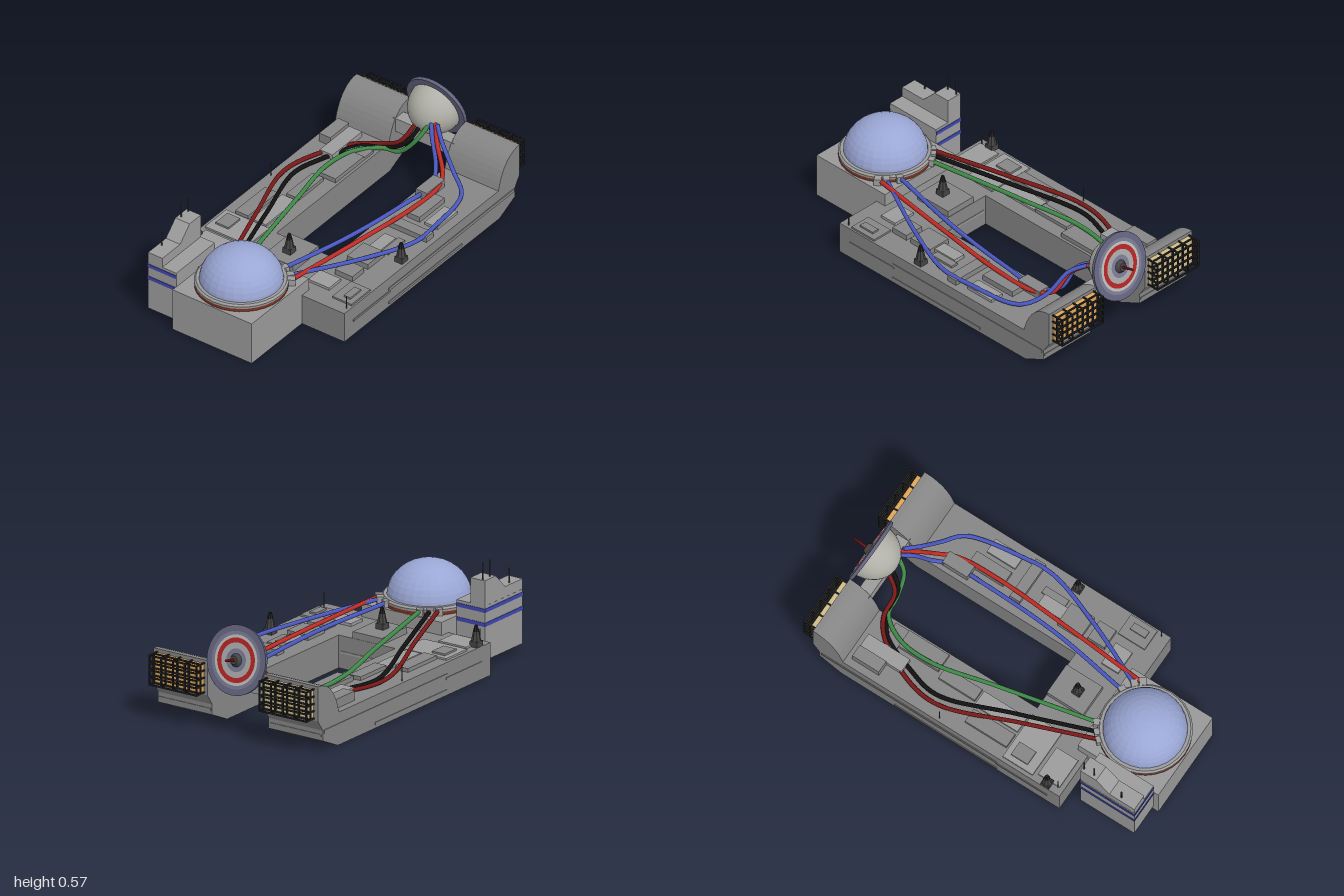
import * as THREE from 'three';

const materials = {};
function mat(color = 0xcccccc, flat = true) {
  const key = color + '_' + flat;
  return materials[key] ??= new THREE.MeshStandardMaterial({ color, flatShading: flat, side: THREE.DoubleSide });
}
const GREY = 0x858585, LIGHT = 0x9c9c9c, DARK = 0x444444, BLACK = 0x222222;

export function createModel() {
  const model = new THREE.Group();
  const add = (name, geometry, color, parent = model, flat = true) => {
    const mesh = new THREE.Mesh(geometry, mat(color, flat));
    mesh.name = name;
    parent.add(mesh);
    return mesh;
  };
  // Box given by its minimum and maximum on each axis
  const box = (name, x0, x1, y0, y1, z0, z1, color = GREY, parent = model) => {
    const m = add(name, new THREE.BoxGeometry(x1 - x0, y1 - y0, z1 - z0), color, parent);
    m.position.set((x0 + x1) / 2, (y0 + y1) / 2, (z0 + z1) / 2);
    return m;
  };
  const cyl = (name, r0, r1, y0, y1, x, z, sides, color, parent = model) => {
    const m = add(name, new THREE.CylinderGeometry(r1, r0, y1 - y0, sides), color, parent);
    m.position.set(x, (y0 + y1) / 2, z);
    return m;
  };
  const extrude = (name, shape, z0, z1, color) => {
    const g = new THREE.ExtrudeGeometry(shape, { depth: z1 - z0, bevelEnabled: false, curveSegments: 8 });
    add(name, g, color).position.z = z0;
  };

  // Hull: two long arms with raised rounded ends, joined at the rear
  const arm = new THREE.Shape();
  arm.moveTo(-0.575, 0).lineTo(0.74, 0).lineTo(0.87, 0.06).lineTo(0.87, 0.115).lineTo(0.91, 0.175)
    .lineTo(0.91, 0.36).lineTo(0.88, 0.357).quadraticCurveTo(0.77, 0.335, 0.73, 0.175).lineTo(-0.575, 0.175);
  extrude('leftArm', arm, 0.175, 0.51, GREY);
  extrude('rightArm', arm, -0.51, -0.175, GREY);
  box('rearDeck', -0.575, -0.22, 0, 0.175, -0.175, 0.175);
  box('rearDeckPanel', -0.222, -0.216, 0.082, 0.093, -0.16, 0.16, LIGHT);
  box('deckHouse', -0.44, -0.222, 0.175, 0.21, -0.09, 0.09);
  box('engineBlock', -1, -0.515, 0, 0.245, -0.25, 0.245, 0x999999);

  // Side strips on both flanks and end strips on the arm fronts
  for (const s of [1, -1]) {
    const strips = [[-0.2, 0.86, 0.098, 0.116], [-0.5, -0.19, 0.084, 0.096], [-0.2, 0.42, 0.018, 0.032]];
    for (const [x0, x1, y0, y1] of strips)
      box('sideStrip', x0, x1, y0, y1, s * 0.51 - 0.004, s * 0.51 + 0.004);
    box('endStrip', 0.86, 0.874, 0.08, 0.093, s * 0.343 - 0.16, s * 0.343 + 0.16);
  }

  // Deck plates and equipment boxes: x0, x1, z0, z1, height
  const plates = [
    [-0.4, -0.22, -0.49, -0.22, 0.01], [-0.35, -0.25, -0.46, -0.38, 0.02], [-0.21, 0.04, -0.44, -0.36, 0.02],
    [-0.21, 0.05, -0.34, -0.25, 0.012], [0.06, 0.28, -0.32, -0.25, 0.02], [0.3, 0.54, -0.29, -0.19, 0.025],
    [0.45, 0.7, -0.4, -0.32, 0.03], [0.54, 0.7, -0.47, -0.4, 0.05], [0.54, 0.62, -0.32, -0.19, 0.015],
    [-0.55, -0.42, -0.47, -0.3, 0.01], [-0.5, -0.34, 0.38, 0.5, 0.01], [-0.47, -0.38, 0.43, 0.47, 0.02],
    [-0.46, -0.36, 0.2, 0.33, 0.015], [-0.33, -0.23, 0.27, 0.38, 0.03], [-0.2, -0.06, 0.25, 0.38, 0.03],
    [-0.07, 0.08, 0.28, 0.35, 0.02], [-0.04, 0.1, 0.35, 0.39, 0.012], [0.16, 0.22, 0.24, 0.48, 0.03],
    [0.28, 0.45, 0.38, 0.46, 0.015], [0.28, 0.49, 0.27, 0.35, 0.03], [0.45, 0.6, 0.2, 0.27, 0.045],
  ];
  plates.forEach(([x0, x1, z0, z1, h], i) =>
    box('deckBox', x0, x1, 0.17, 0.175 + h, z0, z1, i % 3 ? GREY : LIGHT));
  for (const [x, z, top] of [[0.16, -0.49, 0.26], [-0.53, 0.49, 0.25], [-0.54, -0.47, 0.25]])
    cyl('deckAerial', 0.003, 0.003, 0.17, top, x, z, 6, DARK);

  // Small turrets: square foot, tapered column and cap
  for (const [x, y, z] of [[-0.35, 0.21, 0], [-0.04, 0.175, 0.47], [-0.485, 0.175, -0.485]]) {
    const turret = new THREE.Group();
    turret.name = 'turret';
    turret.position.set(x, y, z);
    model.add(turret);
    box('turretFoot', -0.024, 0.024, 0, 0.03, -0.024, 0.024, DARK, turret);
    cyl('turretColumn', 0.026, 0.016, 0.03, 0.08, 0, 0, 8, DARK, turret);
    cyl('turretCap', 0.016, 0.008, 0.08, 0.112, 0, 0, 8, BLACK, turret);
  }

  // Dome on its collar
  const DX = -0.755;
  cyl('domeBand', 0.238, 0.238, 0.243, 0.266, DX, 0, 32, 0x7a3020);
  const collar = add('domeCollar', new THREE.LatheGeometry([[0.238, 0.262], [0.24, 0.275], [0.23, 0.285],
    [0.205, 0.285]].map(p => new THREE.Vector2(...p)), 32), LIGHT);
  collar.position.x = DX;
  const dome = add('dome', new THREE.SphereGeometry(0.215, 28, 10, 0, Math.PI * 2, 0, Math.PI / 2), 0x9aa6d4);
  dome.scale.y = 0.88;
  dome.position.set(DX, 0.273, 0);

  // Control tower behind the dome, with stripes and aerials
  box('towerBase', -0.97, -0.645, 0.04, 0.33, -0.425, -0.248, LIGHT);
  const tower = new THREE.Shape();
  tower.moveTo(-0.97, 0.3).lineTo(-0.645, 0.3).lineTo(-0.645, 0.465).lineTo(-0.74, 0.465)
    .lineTo(-0.79, 0.415).lineTo(-0.82, 0.385).lineTo(-0.97, 0.385);
  extrude('towerTop', tower, -0.424, -0.335, LIGHT);
  for (const y of [0.22, 0.295]) box('towerStripe', -0.973, -0.642, y, y + 0.02, -0.428, -0.249, 0x3f47b0);
  for (const [x, y0, y1] of [[-0.715, 0.46, 0.555], [-0.655, 0.46, 0.555], [-0.88, 0.38, 0.465]])
    cyl('towerAerial', 0.004, 0.004, y0, y1, x, -0.405, 6, DARK);

  // Crossbar and bracket carrying the dish
  box('crossbar', 0.785, 0.855, 0.22, 0.3, -0.19, 0.19, LIGHT);
  box('dishBracket', 0.8, 0.86, 0.21, 0.3, -0.025, 0.025, DARK);

  // Dish: local +y is the aiming axis, tilted slightly upward
  const dish = new THREE.Group();
  dish.name = 'dish';
  dish.position.set(0.9, 0.395, 0);
  dish.rotation.z = -Math.PI / 2 + 0.25;
  model.add(dish);
  const bowl = add('dishBowl', new THREE.SphereGeometry(0.145, 28, 12, 0, Math.PI * 2, Math.PI / 2, Math.PI / 2), 0xb0b0a8, dish, false);
  bowl.scale.y = 1.1;
  cyl('dishRim', 0.178, 0.18, -0.012, 0.006, 0, 0, 40, 0x62627e, dish);
  const rings = [[0.13, 0.148, 0x777790], [0.115, 0.13, 0xb8b8b4], [0.09, 0.115, 0xb02424], [0.06, 0.09, 0xa6a6a6], [0, 0.06, 0x777790]];
  for (const [r0, r1, color] of rings) {
    const ring = add('dishRing', new THREE.RingGeometry(r0, r1, 40), color, dish);
    ring.rotation.x = -Math.PI / 2;
    ring.position.y = 0.008;
  }
  cyl('emitterBase', 0.036, 0.022, 0.006, 0.03, 0, 0, 16, DARK, dish);
  cyl('emitterSpike', 0.009, 0.006, 0.02, 0.1, 0, 0, 10, 0xa02020, dish);

  // Cargo racks on the arm ends: cage bars around stacked crates
  for (const [z0, crate] of [[0.195, 0xe0a658], [-0.485, 0xd2bd88]]) {
    const rack = new THREE.Group();
    rack.name = 'cargoRack';
    rack.position.set(0.91, 0.188, z0);
    model.add(rack);
    const W = 0.29, H = 0.155, t = 0.004;
    for (let i = 0; i < 4; i++) for (let j = 0; j < 4; j++)
      box('crate', 0, 0.026, j * H / 4 + 0.003, (j + 1) * H / 4 - 0.003, i * W / 4 + 0.003, (i + 1) * W / 4 - 0.003, crate, rack);
    for (const x of [0.032, 0.068]) {
      for (let i = 0; i < 5; i++) {
        const z = i * W / 4, y = i * H / 4;
        box('uprightBar', x - t, x + t, -t, H + t, z - t, z + t, BLACK, rack);
        box('crossBar', x - t, x + t, y - t, y + t, -t, W + t, BLACK, rack);
      }
    }
    for (let i = 0; i < 5; i++) for (const y of [0, H])
      box('depthBar', 0, 0.068, y - t, y + t, i * W / 4 - t, i * W / 4 + t, BLACK, rack);
    for (let j = 1; j < 4; j++) for (const z of [0, W])
      box('depthBar', 0, 0.068, j * H / 4 - t, j * H / 4 + t, z - t, z + t, BLACK, rack);
  }

  // Cables running from the dome collar to the back of the dish
  const cables = [
    [0x7a1818, [[-0.6, 0.27, -0.17], [-0.2, 0.24, -0.31], [0.18, 0.2, -0.44], [0.35, 0.19, -0.43], [0.6, 0.19, -0.31], [0.69, 0.19, -0.2], [0.7, 0.25, -0.08], [0.78, 0.35, -0.03]]],
    [0x111111, [[-0.57, 0.27, -0.14], [-0.15, 0.23, -0.28], [0.24, 0.19, -0.4], [0.42, 0.185, -0.36], [0.62, 0.185, -0.27], [0.69, 0.18, -0.16], [0.7, 0.25, -0.05], [0.78, 0.35, 0]]],
    [0x3f8a48, [[-0.54, 0.27, -0.1], [0, 0.245, -0.21], [0.35, 0.22, -0.28], [0.55, 0.2, -0.26], [0.68, 0.18, -0.17], [0.69, 0.19, -0.08], [0.71, 0.3, 0.02], [0.76, 0.37, 0.05]]],
    [0x4a58c0, [[-0.55, 0.27, 0.11], [-0.1, 0.24, 0.19], [0.3, 0.21, 0.22], [0.56, 0.195, 0.22], [0.66, 0.23, 0.17], [0.71, 0.35, 0.11], [0.77, 0.385, 0.06]]],
    [0xc02c24, [[-0.61, 0.27, 0.2], [-0.1, 0.24, 0.25], [0.3, 0.215, 0.28], [0.55, 0.205, 0.27], [0.65, 0.22, 0.22], [0.7, 0.33, 0.15], [0.78, 0.385, 0.08]]],
    [0x4a58c0, [[-0.58, 0.27, 0.17], [-0.2, 0.23, 0.35], [0.1, 0.205, 0.455], [0.28, 0.2, 0.45], [0.58, 0.195, 0.39], [0.66, 0.24, 0.28], [0.71, 0.35, 0.17], [0.77, 0.385, 0.1]]],
  ];
  for (const [color, pts] of cables) {
    const path = new THREE.CatmullRomCurve3(pts.map(p => new THREE.Vector3(...p)));
    add('cable', new THREE.TubeGeometry(path, 60, 0.0115, 8), color, model, false);
    const [x, y, z] = pts[0];
    const socket = box('cableSocket', -0.025, 0.025, -0.018, 0.018, -0.018, 0.018, LIGHT);
    socket.position.set(x, y - 0.005, z);
    socket.rotation.y = -Math.atan2(z, x - DX);
  }
  return model;
}
